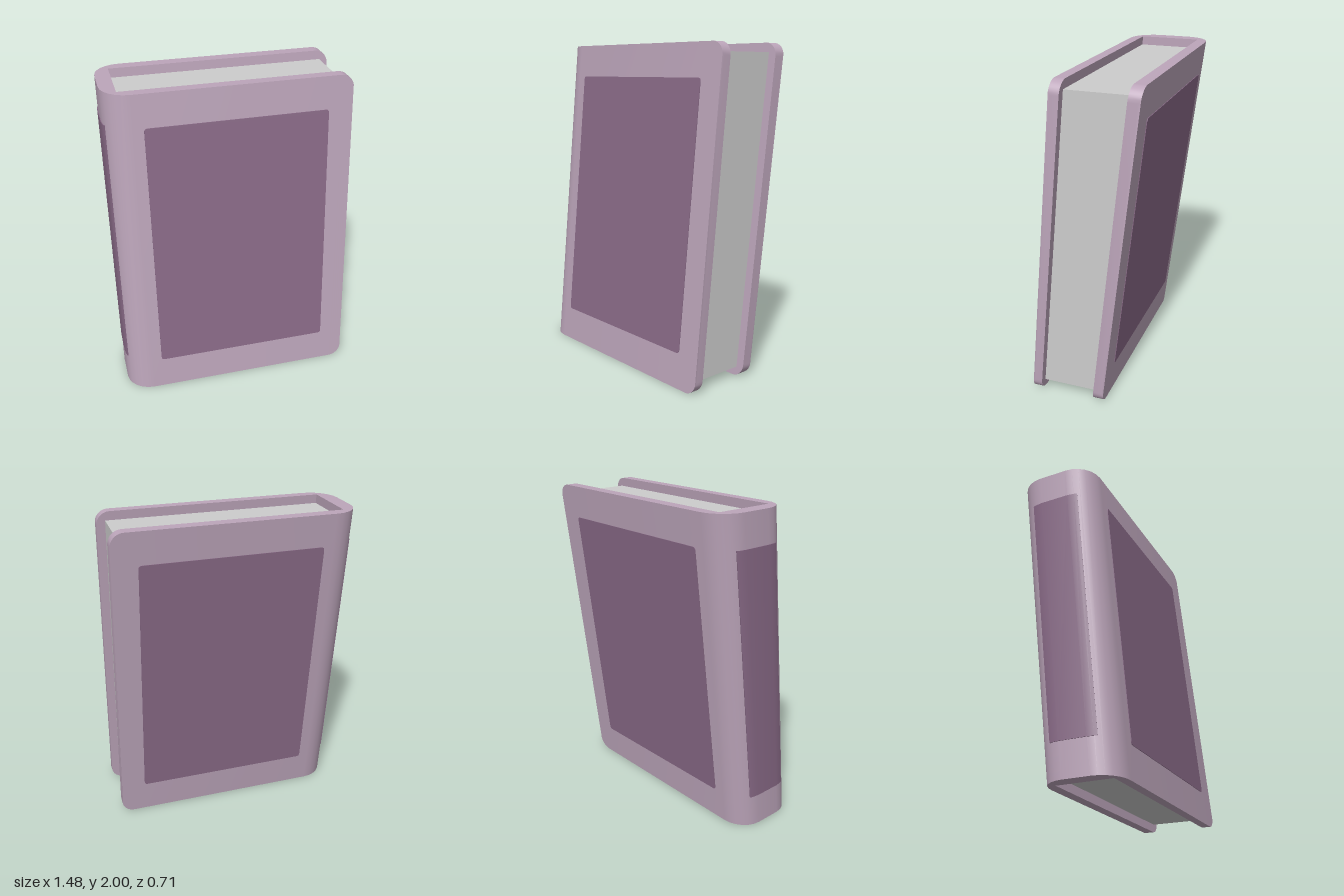
import * as THREE from 'three';
import { toCreasedNormals } from 'three/addons/utils/BufferGeometryUtils.js';

const Y0 = 0.005, Y1 = 2;      // bottom and top of the cover
const EDGE = 0.737;            // free edge of the boards
const CORNER = 0.08;           // rounding of the board corners
const SPINE_R = 0.16, SPINE_X = -0.58, SPINE_FLAT = 0.09;

// The book leans back and gets slightly thicker towards the top
function lean(geometry) {
  const p = geometry.attributes.position;
  for (let i = 0; i < p.count; i++) {
    const t = p.getY(i) / 2;
    const centre = 0.1225 - 0.22 * t;
    const scale = (0.2325 + 0.025 * t) / 0.25;
    p.setZ(i, centre + p.getZ(i) * scale);
  }
  geometry.computeVertexNormals();
  return geometry;
}

// Sweep upright slabs along stations { out: [x, z], inn: [x, z], y0, y1 }
function sweep(stations) {
  const rings = stations.map(({ out, inn, y0, y1 }) => [
    [out[0], y0, out[1]], [out[0], y1, out[1]],
    [inn[0], y1, inn[1]], [inn[0], y0, inn[1]],
  ]);
  const pos = [];
  const quad = (a, b, c, d) => pos.push(...a, ...b, ...c, ...a, ...c, ...d);
  for (let i = 0; i < rings.length - 1; i++) {
    for (let k = 0; k < 4; k++) {
      const n = (k + 1) % 4;
      quad(rings[i + 1][k], rings[i][k], rings[i][n], rings[i + 1][n]);
    }
  }
  const s = rings[0], e = rings[rings.length - 1];
  quad(s[0], s[3], s[2], s[1]);
  quad(e[0], e[1], e[2], e[3]);
  const g = new THREE.BufferGeometry();
  g.setAttribute('position', new THREE.Float32BufferAttribute(pos, 3));
  return toCreasedNormals(lean(g), 0.6);
}

// Point on the rounded spine corner; angle 0 faces -x, 90 degrees faces the board
function spinePoint(angle, side, offset = 0) {
  const r = SPINE_R + offset;
  return [SPINE_X - r * Math.cos(angle), side * (SPINE_FLAT + r * Math.sin(angle))];
}

// Stations of one half of the cover, from the free edge to the spine
function coverHalf(side, inner) {
  const list = [];
  for (let i = 0; i <= 8; i++) {
    const a = (i / 8) * Math.PI / 2;
    const x = EDGE - CORNER + CORNER * Math.cos(a);
    const drop = CORNER * (1 - Math.sin(a));
    const outer = i === 0 ? 0.238 : 0.25;
    list.push({ out: [x, side * outer], inn: [x, side * inner], y0: Y0 + drop, y1: Y1 - drop });
  }
  for (let i = 6; i >= 0; i--) {
    const out = spinePoint((i / 6) * Math.PI / 2, side);
    list.push({ out, inn: [i === 6 ? SPINE_X : -0.65, side * inner], y0: Y0, y1: Y1 });
  }
  return list;
}

// Thin rounded plate for the face of a board
function platePanel() {
  const w = 1.105 / 2, h = 1.585 / 2, r = 0.02;
  const s = new THREE.Shape();
  s.moveTo(-w + r, -h);
  s.lineTo(w - r, -h);
  s.quadraticCurveTo(w, -h, w, -h + r);
  s.lineTo(w, h - r);
  s.quadraticCurveTo(w, h, w - r, h);
  s.lineTo(-w + r, h);
  s.quadraticCurveTo(-w, h, -w, h - r);
  s.lineTo(-w, -h + r);
  s.quadraticCurveTo(-w, -h, -w + r, -h);
  return new THREE.ExtrudeGeometry(s, { depth: 0.004, bevelEnabled: false, curveSegments: 4 });
}

export function createModel() {
  const coverMat = new THREE.MeshStandardMaterial({ color: 0xbca5ba });
  coverMat.name = 'light mauve';
  const panelMat = new THREE.MeshStandardMaterial({ color: 0x8a6b88 });
  panelMat.name = 'dark mauve';
  const pageMat = new THREE.MeshStandardMaterial({ color: 0xcccccc });
  pageMat.name = 'page grey';

  const book = new THREE.Group();
  book.name = 'book';
  const add = (name, geometry, material) => {
    const m = new THREE.Mesh(geometry, material);
    m.name = name;
    book.add(m);
  };

  // Cover: front board, spine and back board in one sweep
  add('cover', sweep([...coverHalf(1, 0.188), ...coverHalf(-1, 0.18).reverse()]), coverMat);

  // Page block, tucked slightly into the cover
  const pages = new THREE.BoxGeometry(1.345, 1.885, 0.392);
  pages.translate(0.0125, 1.0025, 0.002);
  add('pages', lean(pages), pageMat);

  // Panels on the two boards
  const front = platePanel().translate(0.0325, 1.0075, 0.25);
  add('frontPanel', lean(front), panelMat);
  const back = platePanel().rotateY(Math.PI).translate(0.0325, 1.0075, -0.25);
  add('backPanel', lean(back), panelMat);

  // Panel wrapped around the spine
  const strip = [];
  for (const [angle, side] of [[0.39, 1], [0.26, 1], [0, 1], [0, -1], [0.26, -1], [0.39, -1]]) {
    strip.push({
      out: spinePoint(angle, side, 0.004), inn: spinePoint(angle, side, -0.003),
      y0: 0.215, y1: 1.8,
    });
  }
  add('spinePanel', sweep(strip), panelMat);

  return book;
}
